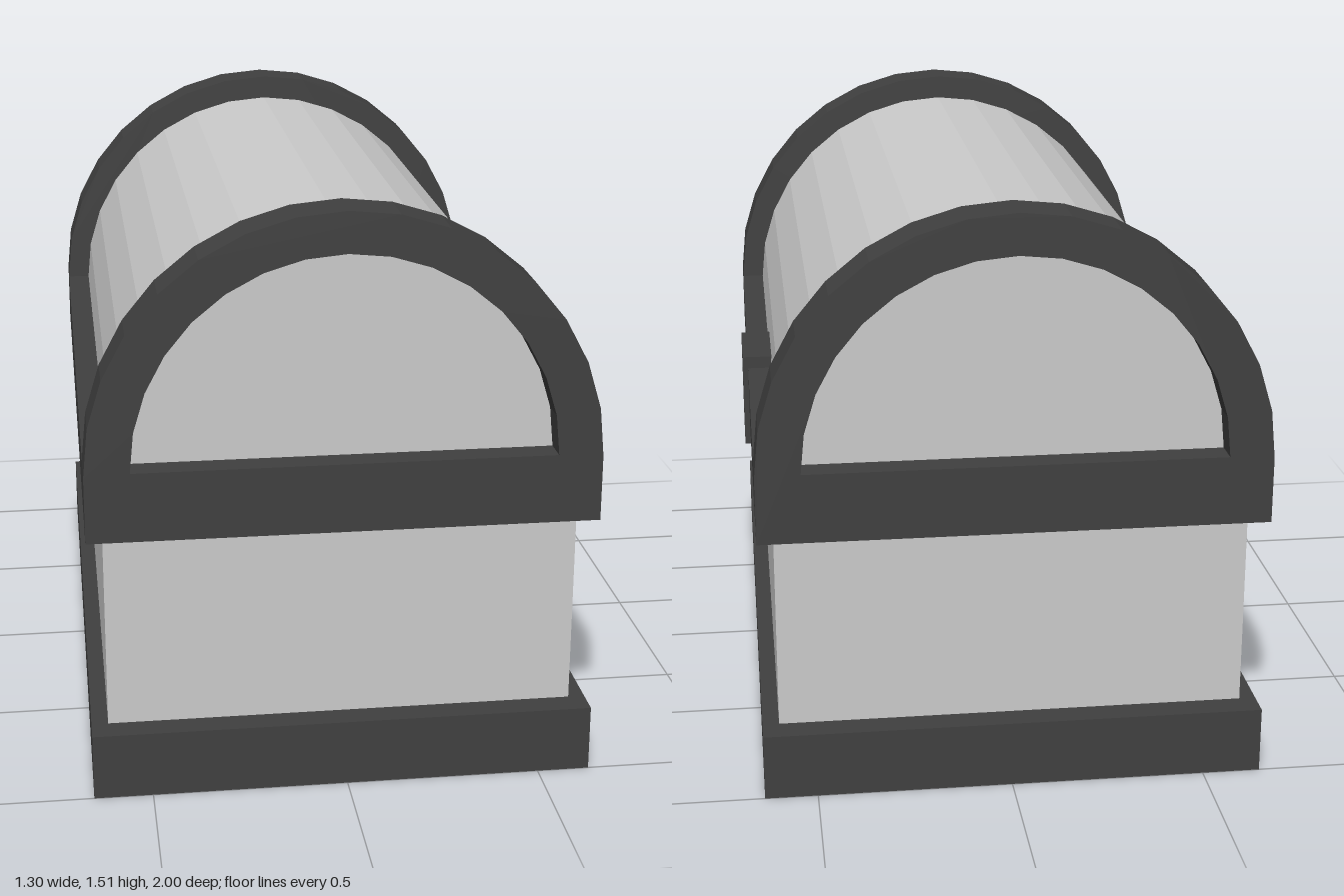
import * as THREE from 'three';

const CX = -0.0075; // chest body is offset slightly so that the latch fits the bounds
const SEGMENTS = 16;

export function createModel() {
  const chest = new THREE.Group();
  chest.name = 'chest';
  const panel = new THREE.MeshStandardMaterial({ color: 0xcccccc, flatShading: true });
  const trim = new THREE.MeshStandardMaterial({ color: 0x404040, flatShading: true });

  function add(name, geometry, material) {
    const mesh = new THREE.Mesh(geometry, material);
    mesh.name = name;
    chest.add(mesh);
  }

  // Box given by its lower and upper corners
  function addBox(name, material, [x0, y0, z0], [x1, y1, z1]) {
    const g = new THREE.BoxGeometry(x1 - x0, y1 - y0, z1 - z0);
    g.translate((x0 + x1) / 2 + CX, (y0 + y1) / 2, (z0 + z1) / 2);
    add(name, g, material);
  }

  // Faceted half circle, running from +x over the top to -x
  function halfCircle(radius, y) {
    return Array.from({ length: SEGMENTS + 1 }, (_, i) => {
      const a = (i / SEGMENTS) * Math.PI;
      return new THREE.Vector2(radius * Math.cos(a), y + radius * Math.sin(a));
    });
  }

  function extrude(shape, z0, z1) {
    const g = new THREE.ExtrudeGeometry(shape, { depth: z1 - z0, bevelEnabled: false });
    return g.translate(CX, 0, z0);
  }

  // Base plinth and box body
  addBox('base', trim, [-0.6425, 0, -1], [0.6425, 0.173, 1]);
  addBox('body', panel, [-0.6, 0.173, -0.93], [0.6, 0.86, 0.93]);

  // Barrel lid
  add('lid', extrude(new THREE.Shape(halfCircle(0.58, 0.862)), -0.93, 0.93), panel);

  // Arched end frames with a half-round opening
  const arch = new THREE.Shape([
    new THREE.Vector2(-0.6425, 0.697),
    new THREE.Vector2(0.6425, 0.697),
    ...halfCircle(0.6425, 0.867),
  ]);
  arch.holes.push(new THREE.Path(halfCircle(0.53, 0.875).reverse()));
  add('frontFrame', extrude(arch, 0.868, 1), trim);
  add('backFrame', extrude(arch, -1, -0.868), trim);

  // Rails along the lid's long edges
  addBox('leftRail', trim, [0.575, 0.697, -0.868], [0.6425, 0.867, 0.868]);
  addBox('rightRail', trim, [-0.6425, 0.697, -0.868], [-0.575, 0.867, 0.868]);

  // Latch
  addBox('latch', trim, [0.575, 0.642, -0.12], [0.6575, 0.9, 0.12]);

  return chest;
}
